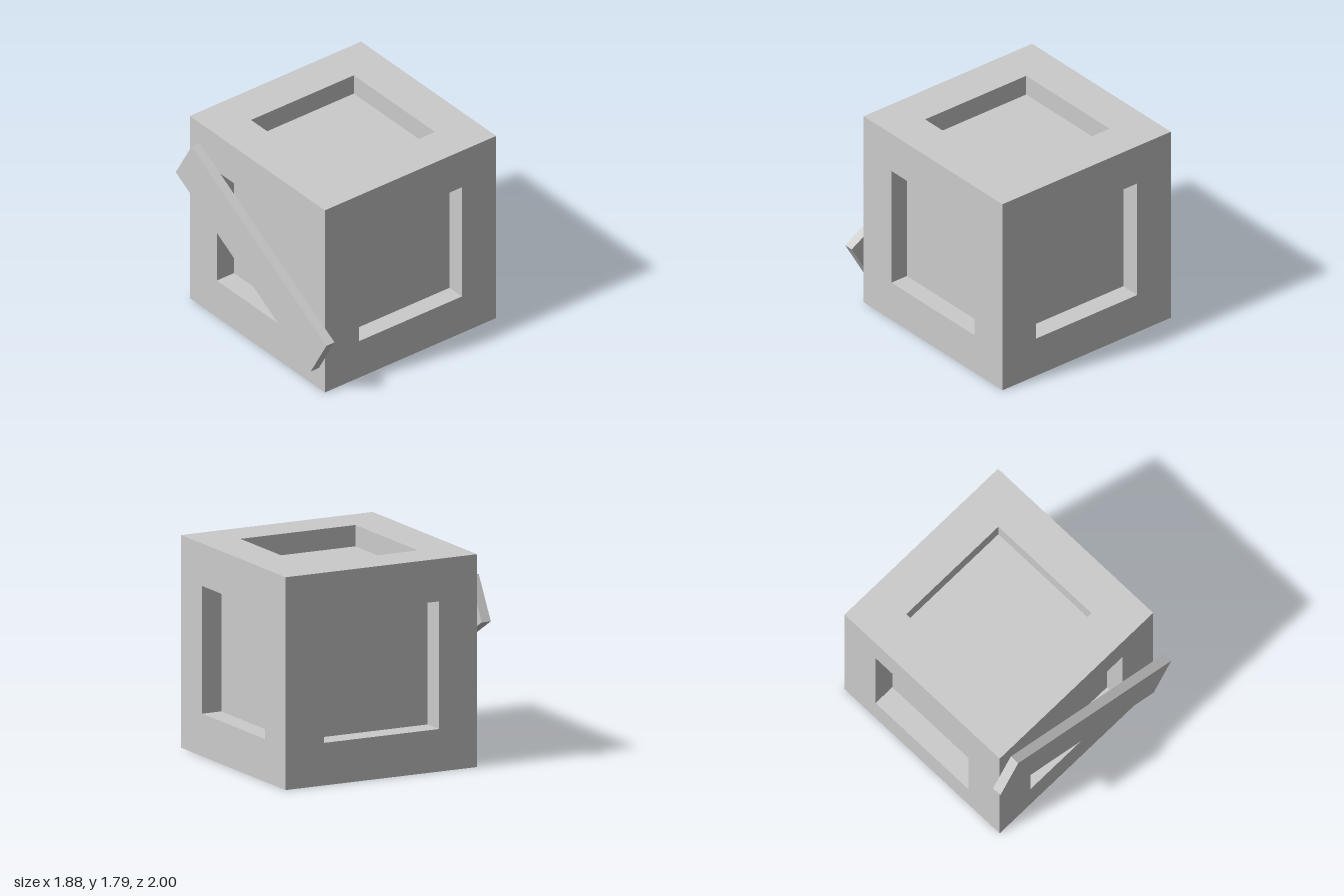
import * as THREE from 'three';

const SIZE = 1.795;
const HALF = SIZE / 2;
const material = new THREE.MeshStandardMaterial({ color: 0xcccccc, flatShading: true });

// One crate side facing +z: a flat border, four recess walls and a sunken floor
function sidePanel(depth) {
  const ring = (r, z) => [[-r, -r, z], [r, -r, z], [r, r, z], [-r, r, z]];
  const inner = HALF * 0.6;
  const rings = [ring(HALF, HALF), ring(inner, HALF), ring(inner, HALF - depth)];
  const points = [];
  const quad = (a, b, c, d) => points.push(...a, ...b, ...c, ...a, ...c, ...d);
  for (let k = 0; k < 2; k++) {
    for (let i = 0; i < 4; i++) {
      const j = (i + 1) % 4;
      quad(rings[k][i], rings[k][j], rings[k + 1][j], rings[k + 1][i]);
    }
  }
  quad(...rings[2]);
  const geometry = new THREE.BufferGeometry();
  geometry.setAttribute('position', new THREE.Float32BufferAttribute(points, 3));
  geometry.computeVertexNormals();
  return geometry;
}

export function createModel() {
  const model = new THREE.Group();
  model.name = 'crate';

  // Cube body with a square recess in every side
  const body = new THREE.Group();
  body.name = 'crateBody';
  body.position.set(0.0425, HALF, -0.025);
  const q = Math.PI / 2;
  const sides = [
    ['frontPanel', 0, 0, 0.165],
    ['backPanel', 0, 2 * q, 0.195],
    ['leftPanel', 0, q, 0.18],
    ['rightPanel', 0, -q, 0.18],
    ['topPanel', -q, 0, 0.18],
    ['bottomPanel', q, 0, 0.18],
  ];
  for (const [name, rx, ry, depth] of sides) {
    const panel = new THREE.Mesh(sidePanel(depth), material);
    panel.name = name;
    panel.rotation.set(rx, ry, 0);
    body.add(panel);
  }
  model.add(body);

  // Slanted plank lying across the right side
  const plank = new THREE.Mesh(new THREE.BoxGeometry(0.085, 0.416, 2.07), material);
  plank.name = 'plank';
  plank.position.set(-0.8975, HALF, 0);
  plank.rotation.x = Math.PI / 6;
  model.add(plank);

  return model;
}
